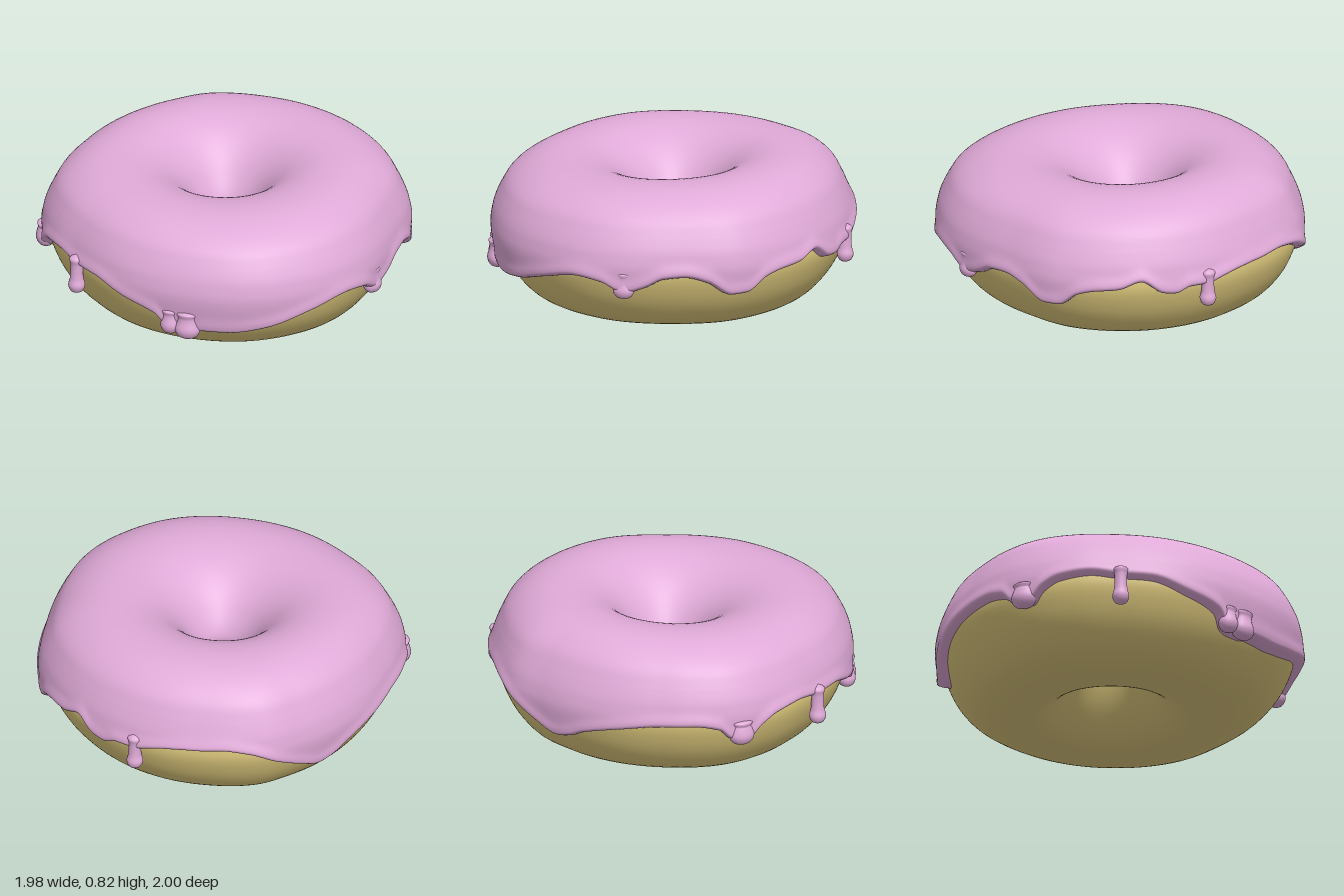
import * as THREE from 'three';

const SEG = 400;
const ICING = 0xe0aad8, DOUGH = 0xdcc77c;

// Smooth curve through [x, value] pairs that never overshoots
function curve(pts) {
  const n = pts.length;
  const d = pts.slice(1).map((p, i) => (p[1] - pts[i][1]) / (p[0] - pts[i][0]));
  const m = pts.map((p, i) => {
    if (i === 0 || i === n - 1) return 0;
    const a = d[i - 1], b = d[i];
    return a * b > 0 ? (2 * a * b) / (a + b) : 0;
  });
  return (x) => {
    let i = 0;
    while (i < n - 2 && x > pts[i + 1][0]) i++;
    const h = pts[i + 1][0] - pts[i][0];
    const t = Math.min(1, Math.max(0, (x - pts[i][0]) / h));
    const t2 = t * t, t3 = t2 * t;
    return (2 * t3 - 3 * t2 + 1) * pts[i][1] + (t3 - 2 * t2 + t) * h * m[i]
      + (3 * t2 - 2 * t3) * pts[i + 1][1] + (t3 - t2) * h * m[i + 1];
  };
}

// Height of the icing's lower rim by angle (degrees, 0 = front, 90 = +x)
const rim = curve([
  [-180, .43], [-170, .44], [-162, .42], [-152, .34], [-144, .27], [-137, .225], [-131, .25],
  [-126, .29], [-112, .35], [-100, .38], [-88, .385], [-80, .36], [-76, .3], [-70, .29], [-66, .35],
  [-60, .40], [-50, .42], [-40, .40], [-30, .395], [-18, .34], [-6, .28], [-2, .21], [2, .195],
  [7, .195], [10, .205], [18, .205], [30, .235], [45, .31], [58, .36], [66, .34], [73, .285],
  [80, .32], [86, .37], [93, .38], [100, .35], [108, .27], [113, .275], [119, .35], [124, .375],
  [132, .39], [139, .43], [146, .36], [150, .35], [155, .38], [161, .38], [166, .40], [172, .42], [180, .43],
]);

// Uneven outer radius by angle
const outline = curve([
  [-180, 1.02], [-157, 1.04], [-142, 1.005], [-120, .985], [-102, .98], [-90, .995], [-73, 1.015],
  [-55, .995], [-40, .975], [-20, .985], [0, 1], [35, 1.045], [55, 1.045], [90, 1.005],
  [113, 1.04], [145, 1.03], [180, 1.02],
]);

// Outer radius by height for dough and icing
const doughR = curve([[0, .5], [.015, .62], [.07, .755], [.17, .85], [.28, .91], [.4, .94], [.55, .9]]);
const icingR = curve([[.1, .88], [.2, .925], [.3, .96], [.42, .975], [.5, .963], [.6, .925], [.68, .88]]);

const spline = (pts, n, closed) =>
  new THREE.CatmullRomCurve3(pts.map(([r, y]) => new THREE.Vector3(r, y, 0)), closed, 'centripetal')
    .getPoints(n).map((p) => [p.x, p.y]);

// Sweep a profile (counter-clockwise in r, y) once around the ring
function sweep(name, color, amount, closed, profileAt) {
  const pos = [], index = [];
  let rows = 0;
  for (let i = 0; i < SEG; i++) {
    const deg = -180 + (360 * i) / SEG, a = THREE.MathUtils.degToRad(deg);
    const profile = profileAt(deg);
    rows = profile.length;
    for (const [r0, y0] of profile) {
      const w = THREE.MathUtils.smoothstep(r0, .2, .9);
      const r = r0 * (1 + (outline(deg) - 1) * amount * w);
      const y = y0 - .02 * Math.cos(a) * THREE.MathUtils.smoothstep(y0, .5, .8);
      pos.push(r * Math.sin(a), y, r * Math.cos(a) - .03 * (1 - w));
    }
  }
  for (let i = 0; i < SEG; i++) {
    const next = (i + 1) % SEG;
    for (let j = 0; j < (closed ? rows : rows - 1); j++) {
      const k = (j + 1) % rows;
      const a = i * rows + j, b = next * rows + j, c = next * rows + k, d = i * rows + k;
      index.push(a, b, c, a, c, d);
    }
  }
  const geo = new THREE.BufferGeometry();
  geo.setAttribute('position', new THREE.Float32BufferAttribute(pos, 3));
  geo.setIndex(index);
  geo.computeVertexNormals();
  const mesh = new THREE.Mesh(geo, new THREE.MeshStandardMaterial({ color }));
  mesh.name = name;
  return mesh;
}

// Teardrop of icing hanging from the rim: angle, distance out, bottom, bulb radius, top, sideways stretch
function drip([deg, out, bottom, radius, top, stretch]) {
  const h = top - bottom;
  const profile = spline([
    [0, 0], [radius * .7, radius * .28], [radius, radius], [radius * .8, radius * 1.9],
    [radius * .75, h * .75], [radius * .85, h * .9], [0, h],
  ], 24, false).map(([r, y]) => new THREE.Vector2(Math.max(0, r), y));
  const mesh = new THREE.Mesh(new THREE.LatheGeometry(profile, 24), new THREE.MeshStandardMaterial({ color: ICING }));
  const a = THREE.MathUtils.degToRad(deg);
  mesh.position.set(out * Math.sin(a), bottom, out * Math.cos(a));
  mesh.rotation.y = a;
  mesh.scale.x = stretch;
  mesh.name = 'icingDrip';
  return mesh;
}

export function createModel() {
  const group = new THREE.Group();
  group.name = 'doughnut';

  // Dough ring
  const doughProfile = spline([
    [.48, .003], [.62, .015], [.755, .07], [.85, .17], [.91, .28], [.94, .4], [.9, .55], [.8, .67],
    [.65, .74], [.5, .75], [.36, .69], [.22, .56], [.135, .4], [.175, .25], [.27, .11], [.37, .03],
  ], 64, true).slice(0, -1);
  group.add(sweep('dough', DOUGH, .8, true, () => doughProfile));

  // Upper icing, from the hole over the crown to the shoulder
  const crown = spline([
    [.16, .39], [.13, .4], [.121, .43], [.135, .48], [.175, .55], [.25, .65], [.35, .735], [.46, .785],
    [.58, .803], [.7, .79], [.8, .747], [.88, .68], [.925, .6],
  ], 44, false);

  // Icing side running down to the wavy rim, with a rounded lip
  const STEPS = 22, LIP = 8, LIP_HEIGHT = .035;
  group.add(sweep('icing', ICING, 1, false, (deg) => {
    const low = rim(deg), base = low + LIP_HEIGHT;
    const profile = crown.slice();
    const radius = (y) => icingR(y) + .012 * Math.exp(-(((y - base) / .04) ** 2));
    for (let i = 1; i <= STEPS; i++) {
      const y = THREE.MathUtils.lerp(.6, base, i / STEPS);
      profile.push([radius(y), y]);
    }
    const outer = radius(base), inner = doughR(low) - .03;
    for (let i = 1; i <= LIP; i++) {
      const t = (i / LIP) * Math.PI / 2;
      profile.push([inner + (outer - inner) * Math.cos(t), base - LIP_HEIGHT * Math.sin(t)]);
    }
    return profile.reverse();
  }));

  // Hanging drips and thick blobs
  [
    [-40, .95, .24, .046, .47, 1], [161, .985, .26, .045, .48, 1],
    [-72.5, .965, .27, .055, .42, 1.3], [-1, .935, .185, .05, .34, 1.1],
    [5, .945, .17, .054, .34, 1.3], [73, .965, .26, .045, .42, 1.3],
  ].forEach((d) => group.add(drip(d)));

  return group;
}
